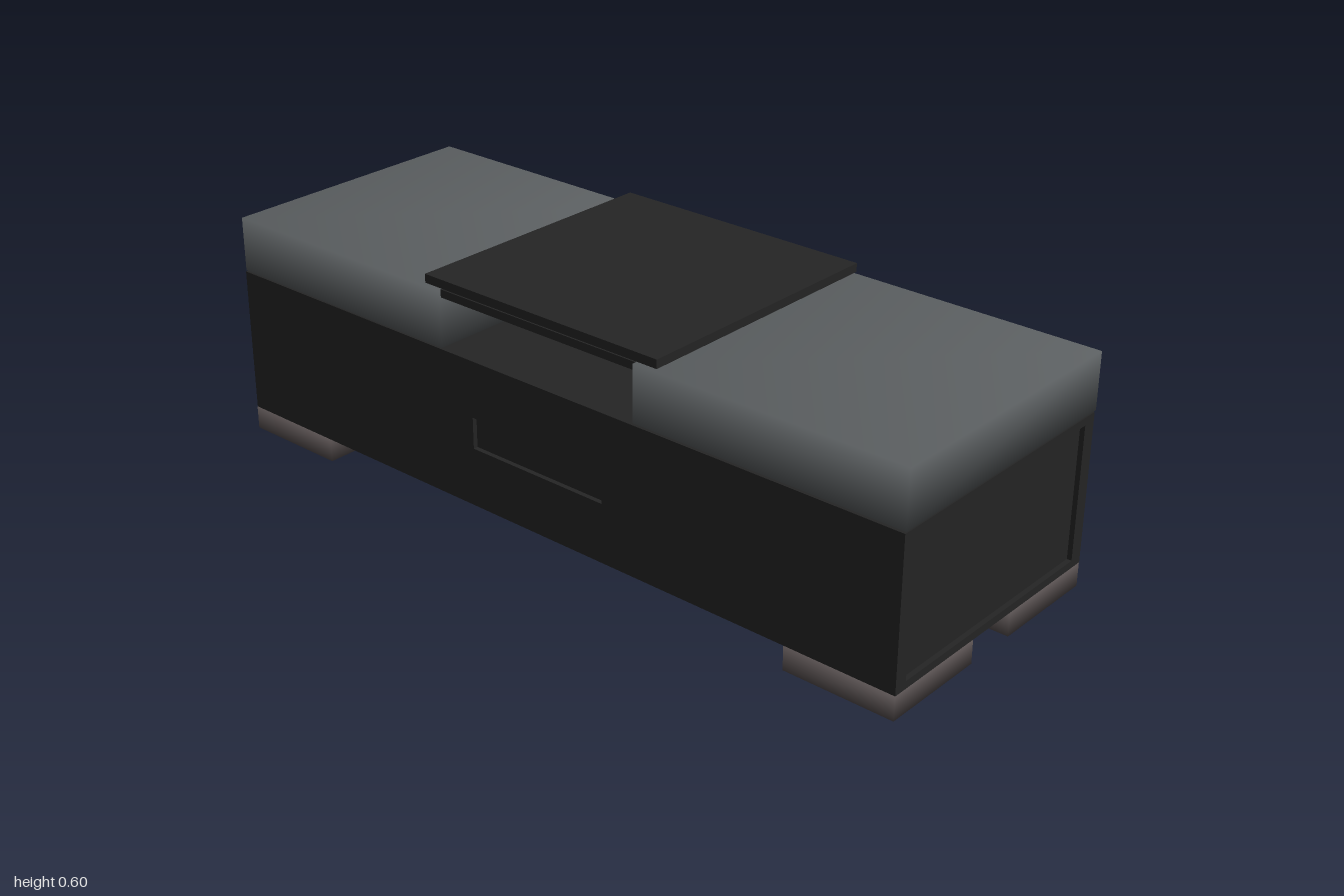
import * as THREE from 'three';
import { mergeVertices } from 'three/addons/utils/BufferGeometryUtils.js';

const material = (color) => new THREE.MeshStandardMaterial({ color });

// Box given by its limits on each axis
function boxBetween([x0, x1], [y0, y1], [z0, z1]) {
  const g = new THREE.BoxGeometry(x1 - x0, y1 - y0, z1 - z0);
  return g.translate((x0 + x1) / 2, (y0 + y1) / 2, (z0 + z1) / 2);
}

// Box with shared corners, so its shading rolls softly over the edges
function softBox(x, y, z) {
  let g = boxBetween(x, y, z);
  g.deleteAttribute('normal');
  g.deleteAttribute('uv');
  g = mergeVertices(g);
  g.computeVertexNormals();
  return g;
}

// Upright sheet with a rectangular opening, extruded towards +z
function framedSheet(width, height, holeWidth, holeHeight, holeY, depth) {
  const rect = (path, w, h, y) => path
    .moveTo(-w / 2, y - h / 2).lineTo(w / 2, y - h / 2)
    .lineTo(w / 2, y + h / 2).lineTo(-w / 2, y + h / 2).closePath();
  const shape = rect(new THREE.Shape(), width, height, 0);
  shape.holes.push(rect(new THREE.Path(), holeWidth, holeHeight, holeY));
  return new THREE.ExtrudeGeometry(shape, { depth, bevelEnabled: false });
}

export function createModel() {
  const model = new THREE.Group();
  model.name = 'storageBench';
  const dark = material(0x252525);
  const fabric = material(0x5c6062);
  const footColor = material(0x5a5252);

  const add = (name, geometry, mat, parent = model) => {
    const mesh = new THREE.Mesh(geometry, mat);
    mesh.name = name;
    parent.add(mesh);
    return mesh;
  };

  // Chest: a core clad with sheets whose openings form the recesses
  const chest = new THREE.Group();
  chest.name = 'chest';
  model.add(chest);
  const bottom = 0.06, top = 0.435, midY = (bottom + top) / 2;
  const halfX = 0.997, zBack = -0.35, zFront = 0.358, midZ = (zBack + zFront) / 2;
  const halfZ = (zFront - zBack) / 2, recess = 0.012;
  add('chestCore', boxBetween([-halfX + recess, halfX - recess], [bottom, top],
    [zBack + recess, zFront - recess]), dark, chest);

  for (const side of [1, -1]) {
    // Long sides with a handle recess
    const long = add(side > 0 ? 'frontPanel' : 'backPanel',
      framedSheet(2 * halfX, top - bottom, 0.4, 0.08, 0.003, recess), dark, chest);
    long.position.set(0, midY, midZ + side * (halfZ - recess));
    long.rotation.y = side > 0 ? 0 : Math.PI;

    // Ends with a large sunken field
    const end = add(side > 0 ? 'leftEndFrame' : 'rightEndFrame',
      framedSheet(2 * (halfZ - recess), top - bottom, 0.637, 0.336, 0, recess), dark, chest);
    end.position.set(side * (halfX - recess), midY, midZ);
    end.rotation.y = side * Math.PI / 2;
  }

  // Seat cushions
  add('leftCushion', softBox([0.293, 1], [0.441, 0.581], [-0.349, 0.359]), fabric);
  add('rightCushion', softBox([-1, -0.298], [0.436, 0.576], [-0.354, 0.354]), fabric);

  // Tray bridging the gap between the cushions
  const tray = new THREE.Group();
  tray.name = 'tray';
  model.add(tray);
  add('trayTop', boxBetween([-0.352, 0.349], [0.581, 0.603], [-0.358, 0.346]), dark, tray);
  add('trayUnderside', boxBetween([-0.298, 0.293], [0.561, 0.581], [-0.358, 0.35]), dark, tray);

  // Four broad feet
  for (const [xName, x] of [['Left', [0.713, 0.997]], ['Right', [-0.997, -0.713]]]) {
    for (const [zName, z] of [['front', [0.076, 0.359]], ['back', [-0.349, -0.066]]]) {
      add(`${zName}${xName}Foot`, softBox(x, [0, 0.06], z), footColor);
    }
  }
  return model;
}
